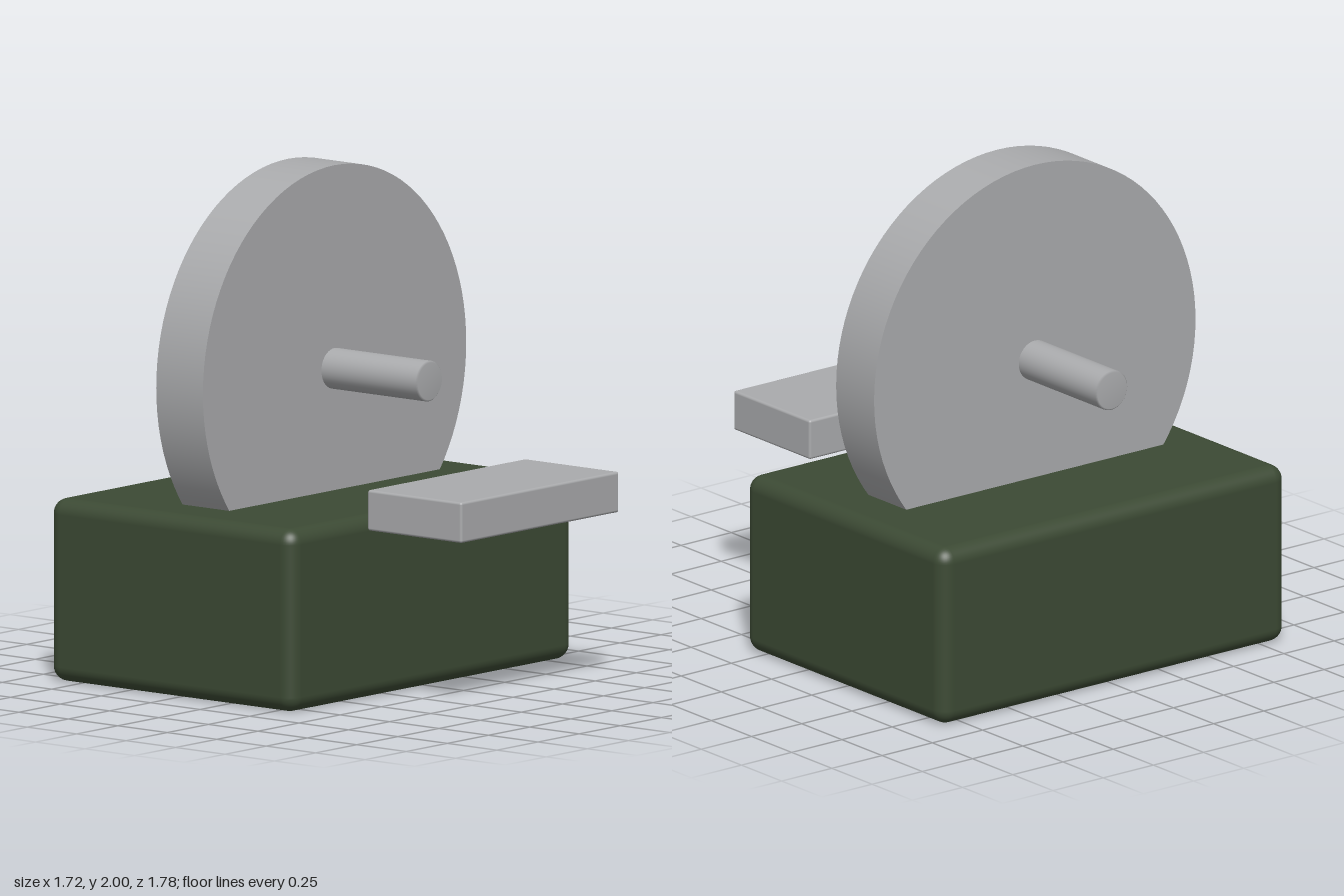
import * as THREE from 'three';
import { RoundedBoxGeometry } from 'three/addons/geometries/RoundedBoxGeometry.js';

export function createModel() {
  const group = new THREE.Group();
  const green = new THREE.MeshStandardMaterial({ color: 0x3c4a34 });
  green.name = 'dark green';
  const grey = new THREE.MeshStandardMaterial({ color: 0xaaabad });
  grey.name = 'light grey';

  const add = (name, geometry, material, x, y, z) => {
    const mesh = new THREE.Mesh(geometry, material);
    mesh.name = name;
    mesh.position.set(x, y, z);
    group.add(mesh);
  };
  // Cylinder lying along z
  const disc = (radius, length, sides) =>
    new THREE.CylinderGeometry(radius, radius, length, sides).rotateX(Math.PI / 2);

  const axisZ = -0.27;

  // Rounded housing
  add('base', new RoundedBoxGeometry(1.72, 0.72, 1.236, 5, 0.06), green, 0, 0.36, axisZ);

  // Grinding wheel, sunk into the housing, on a through axle
  add('wheel', disc(0.8, 0.236, 96), grey, 0, 1.2, axisZ);

  // Axle with slightly eased ends
  const profile = [[0, -0.6], [0.073, -0.6], [0.08, -0.593], [0.08, 0.593], [0.073, 0.6], [0, 0.6]]
    .map(([r, y]) => new THREE.Vector2(r, y));
  add('axle', new THREE.LatheGeometry(profile, 40).rotateX(Math.PI / 2), grey, 0, 1.2, axisZ);

  // Tool rest floating in front of the wheel
  add('toolRest', new RoundedBoxGeometry(0.96, 0.16, 0.476, 3, 0.01), grey, 0, 0.762, 0.65);

  return group;
}
